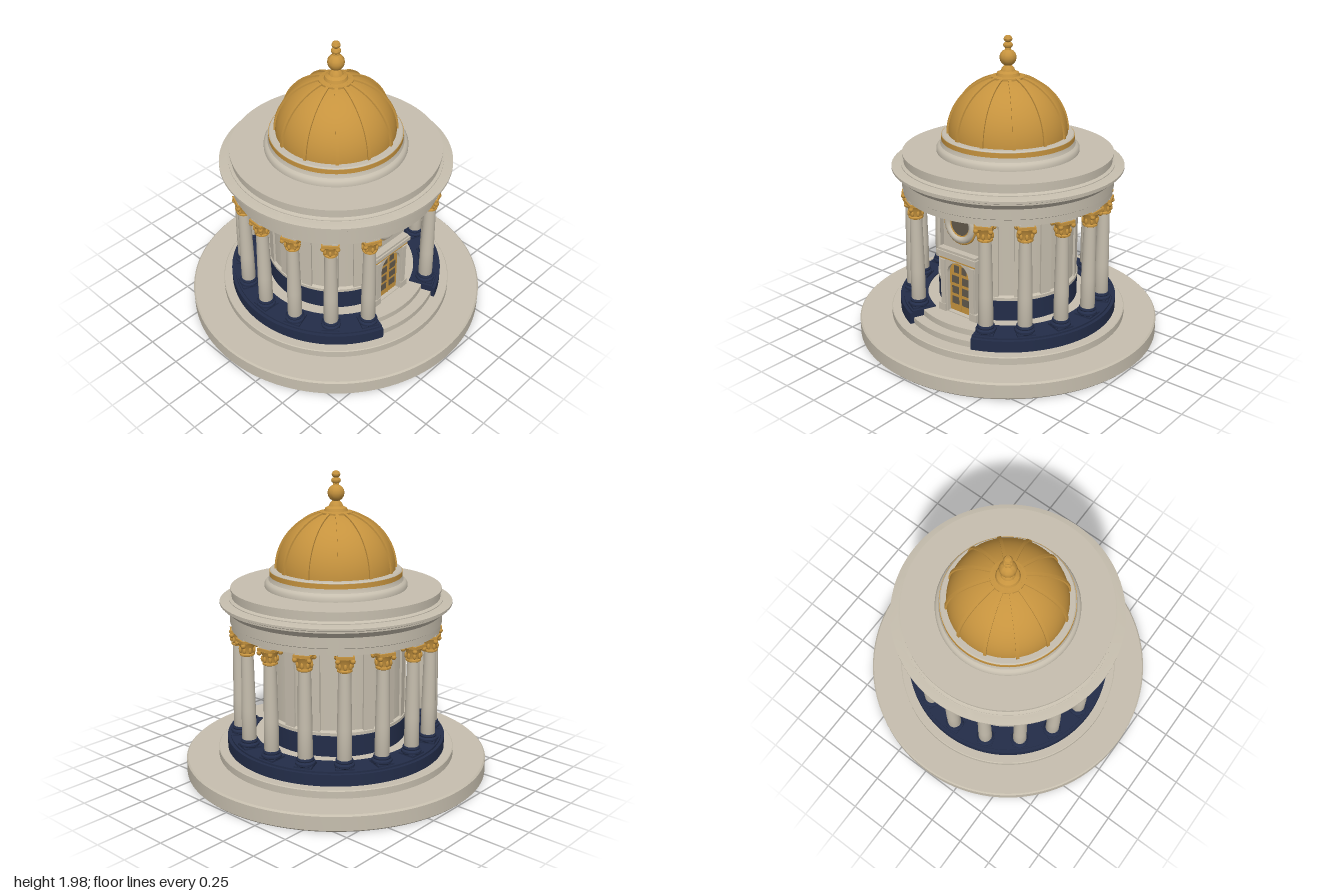
import * as THREE from 'three';
import { toCreasedNormals } from 'three/addons/utils/BufferGeometryUtils.js';

const mat = (name, color) => Object.assign(new THREE.MeshStandardMaterial({ color }), { name });

export function createModel() {
  const stone = mat('stone', 0xc6beae);
  const gold = mat('gold', 0xc6933e);
  const navy = mat('navy', 0x232d49);
  const glass = mat('glass', 0x62594b);
  const model = new THREE.Group();
  model.name = 'domedRotunda';

  const add = (name, geo, material, parent = model, x = 0, y = 0, z = 0) => {
    const mesh = new THREE.Mesh(geo, material);
    mesh.name = name;
    mesh.position.set(x, y, z);
    parent.add(mesh);
    return mesh;
  };
  // Turned profile, listed from the bottom upwards as [radius, height]
  const turned = (pts, seg = 96) =>
    toCreasedNormals(new THREE.LatheGeometry(pts.map(p => new THREE.Vector2(...p)), seg), 0.6);
  const box = (name, w, h, d, x, y, z, material, parent = model) =>
    add(name, new THREE.BoxGeometry(w, h, d), material, parent, x, y, z);
  const extrude = (shape, depth) =>
    new THREE.ExtrudeGeometry(shape, { depth, bevelEnabled: false, curveSegments: 48 });
  const angled = (name, angle, parent = model) => {
    const g = new THREE.Group();
    g.name = name;
    g.rotation.y = angle;
    parent.add(g);
    return g;
  };

  // Stepped round base; the upper two tiers show as entrance steps in the gap
  add('base', turned([[0, 0], [0.99, 0], [1, 0.01], [1, 0.1], [0.99, 0.11], [0.785, 0.11],
    [0.785, 0.155], [0.78, 0.16], [0, 0.16]], 128), stone);
  add('entranceSteps', turned([[0.7, 0.15], [0.7, 0.2], [0.63, 0.2], [0.63, 0.24], [0, 0.24]]), stone);

  // Navy plinth ring, open at the front
  const sector = (r0, r1, gap) => {
    const s = new THREE.Shape();
    s.absarc(0, 0, r1, -Math.PI / 2 + gap, Math.PI * 1.5 - gap, false);
    s.absarc(0, 0, r0, Math.PI * 1.5 - gap, -Math.PI / 2 + gap, true);
    return s;
  };
  [[0.725, 0.16, 0.075], [0.705, 0.235, 0.012]].forEach(([r, y, h]) => {
    const ring = add('plinthRing', toCreasedNormals(extrude(sector(0.54, r, 0.365), h), 0.6), navy, model, 0, y, 0);
    ring.rotation.x = -Math.PI / 2;
  });

  // Inner drum with dark dado
  add('drumWall', turned([[0.45, 0.37], [0.45, 0.98]]), stone);
  add('dado', turned([[0.465, 0.24], [0.465, 0.375], [0.45, 0.375]]), navy);
  add('dadoRail', turned([[0.45, 0.375], [0.468, 0.38], [0.468, 0.4], [0.45, 0.41]]), stone);

  // Columns and matching wall pilasters
  const shaftGeo = turned([[0.042, 0.29], [0.047, 0.305], [0.046, 0.5], [0.039, 0.865], [0.039, 0.88]], 20);
  const footGeo = turned([[0.058, 0.24], [0.058, 0.255], [0.064, 0.262], [0.064, 0.275], [0.053, 0.284],
    [0.056, 0.292], [0.052, 0.303], [0.04, 0.305]], 24);
  const bellGeo = turned([[0.039, 0.86], [0.047, 0.865], [0.047, 0.875], [0.041, 0.88], [0.045, 0.92],
    [0.06, 0.95], [0, 0.95]], 20);
  const leafGeo = new THREE.SphereGeometry(1, 8, 6).scale(0.011, 0.02, 0.009);
  const scrollGeo = new THREE.SphereGeometry(0.016, 8, 6);
  const first = THREE.MathUtils.degToRad(27);
  const count = 15;
  for (let i = 0; i < count; i++) {
    const bay = angled('columnBay', first + i * (2 * Math.PI - 2 * first) / (count - 1));
    const column = new THREE.Group();
    column.name = 'column';
    column.position.z = 0.635;
    bay.add(column);
    box('columnPlinth', 0.115, 0.018, 0.115, 0, 0.25, 0, navy, column);
    add('columnFoot', footGeo, navy, column);
    add('columnShaft', shaftGeo, stone, column);
    add('capitalBell', bellGeo, gold, column);
    box('capitalAbacus', 0.11, 0.018, 0.11, 0, 0.958, 0, gold, column);
    box('impostBlock', 0.09, 0.014, 0.09, 0, 0.972, 0, stone, column);
    for (let k = 0; k < 8; k++) {
      const a = k * Math.PI / 4;
      const leaf = add('capitalLeaf', leafGeo, gold, column, 0.047 * Math.sin(a), 0.9, 0.047 * Math.cos(a));
      leaf.rotation.y = a;
      if (k % 2) add('capitalScroll', scrollGeo, gold, column, 0.064 * Math.sin(a), 0.936, 0.064 * Math.cos(a));
    }
    box('pilaster', 0.075, 0.58, 0.02, 0, 0.69, 0.452, stone, bay);
  }

  // Entablature with navy ceiling, flat roof and dome drum
  add('ceiling', turned([[0.44, 0.977], [0.668, 0.977]]), navy);
  add('entablature', turned([[0.665, 0.975], [0.68, 0.975], [0.68, 1.015], [0.688, 1.02], [0.688, 1.085],
    [0.7, 1.095], [0.712, 1.11], [0.735, 1.125], [0.735, 1.135], [0.75, 1.142], [0.75, 1.155],
    [0.7, 1.165], [0.69, 1.165], [0.69, 1.17], [0.672, 1.18], [0.672, 1.225], [0.68, 1.225],
    [0.68, 1.238], [0.46, 1.238]], 128), stone);
  add('domeDrum', turned([[0.46, 1.235], [0.46, 1.26], [0.45, 1.275], [0.435, 1.285], [0.425, 1.31],
    [0.425, 1.345], [0.418, 1.352], [0.37, 1.352]]), stone);
  add('drumBand', turned([[0.42, 1.312], [0.428, 1.312], [0.428, 1.343], [0.42, 1.343]]), gold);

  // Ribbed dome
  const DOME_Y = 1.345, R = 0.383, H = 0.375;
  const arc = Array.from({ length: 25 }, (_, i) => {
    const a = i / 24 * Math.PI / 2;
    return [R * Math.cos(a), DOME_Y + H * Math.sin(a)];
  });
  add('dome', turned(arc), gold);
  const rib = new THREE.Shape();
  rib.absellipse(0, DOME_Y, R + 0.011, H + 0.01, 0, 1.36, false);
  rib.absellipse(0, DOME_Y, R - 0.015, H - 0.015, 1.36, 0, true);
  const ribGeo = toCreasedNormals(extrude(rib, 0.02).translate(0, 0, -0.01), 0.6);
  for (let i = 0; i < 12; i++) add('domeRib', ribGeo, gold).rotation.y = (i + 0.5) * Math.PI / 6;

  // Finial
  add('finial', turned([[0.1, 1.695], [0.107, 1.705], [0.107, 1.717], [0.075, 1.722], [0.068, 1.74],
    [0.045, 1.752], [0.038, 1.77], [0.022, 1.785], [0.038, 1.796], [0.05, 1.815], [0.054, 1.835],
    [0.05, 1.855], [0.036, 1.874], [0.02, 1.883], [0.017, 1.895], [0.028, 1.902], [0.031, 1.913],
    [0.026, 1.925], [0.015, 1.931], [0.025, 1.94], [0.028, 1.952], [0.02, 1.968], [0, 1.975]], 32), gold);

  // Entrance bay
  const entrance = new THREE.Group();
  entrance.name = 'entrance';
  model.add(entrance);
  box('entranceWall', 0.29, 0.735, 0.1, 0, 0.608, 0.415, stone, entrance);
  const arched = (path, hw, bottom, spring) => {
    path.moveTo(-hw, bottom);
    path.lineTo(hw, bottom);
    path.lineTo(hw, spring);
    path.absarc(0, spring, hw, 0, Math.PI, false);
    path.lineTo(-hw, bottom);
    return path;
  };
  const frame = new THREE.Shape([[-0.145, 0.24], [0.145, 0.24], [0.145, 0.62], [-0.145, 0.62]]
    .map(p => new THREE.Vector2(...p)));
  frame.holes.push(arched(new THREE.Path(), 0.09, 0.245, 0.51));
  add('doorSurround', extrude(frame, 0.045), stone, entrance, 0, 0, 0.455);
  add('door', extrude(arched(new THREE.Shape(), 0.09, 0.25, 0.51), 0.015), gold, entrance, 0, 0, 0.46);
  box('lintel', 0.3, 0.03, 0.08, 0, 0.625, 0.465, stone, entrance);
  box('lintelCornice', 0.33, 0.025, 0.1, 0, 0.652, 0.47, stone, entrance);
  box('lintelCap', 0.31, 0.016, 0.09, 0, 0.672, 0.465, stone, entrance);
  box('lintelTrim', 0.3, 0.008, 0.006, 0, 0.612, 0.503, gold, entrance);
  box('doorStile', 0.012, 0.34, 0.008, 0, 0.425, 0.478, gold, entrance);
  for (const s of [-1, 1]) {
    box('jambBase', 0.06, 0.05, 0.075, s * 0.13, 0.265, 0.475, stone, entrance);
    box('jambStrip', 0.035, 0.31, 0.012, s * 0.122, 0.445, 0.503, stone, entrance);
    for (let r = 0; r < 4; r++) {
      const top = r === 3;
      box('doorPane', top ? 0.04 : 0.055, 0.05, 0.006, s * (top ? 0.032 : 0.042), 0.325 + r * 0.073, 0.476, glass, entrance);
    }
  }

  // Round window above the door
  const oculus = new THREE.Group();
  oculus.name = 'roundWindow';
  oculus.position.set(0, 0.855, 0.467);
  entrance.add(oculus);
  const ring = (name, r, tube, material) => add(name, new THREE.TorusGeometry(r, tube, 10, 48), material, oculus);
  ring('windowMoulding', 0.1, 0.024, stone);
  ring('windowOuterRim', 0.124, 0.008, gold);
  ring('windowInnerRim', 0.078, 0.008, gold);
  add('windowGlass', new THREE.CircleGeometry(0.074, 40), glass, oculus, 0, 0, 0.004);

  return model;
}
